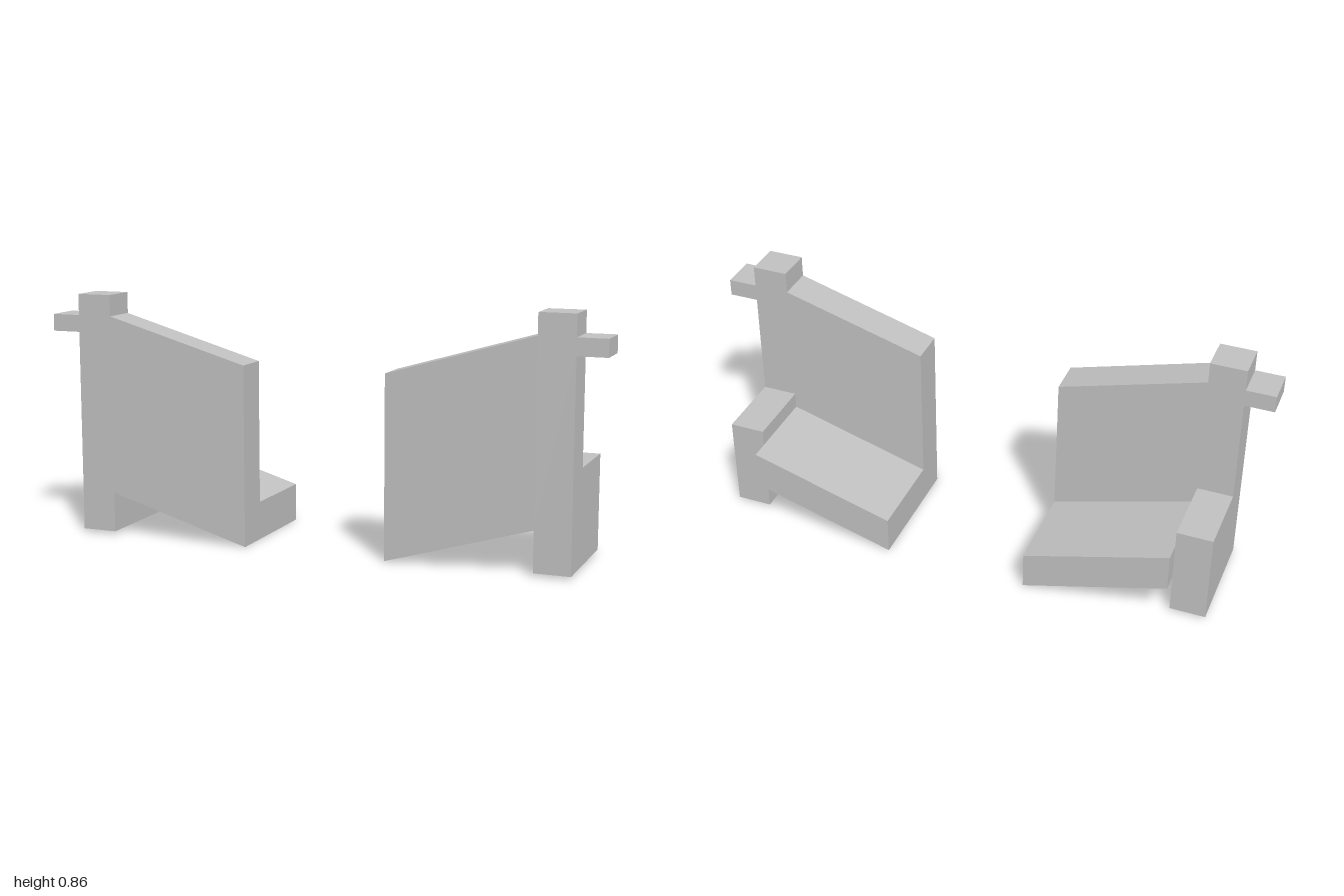
import * as THREE from 'three';

// Horizontal stations, mirrored for each half
const INNER = 0.257, POST_IN = 0.771, POST_OUT = 0.897, TIP = 1;
// Depth stations
const FRONT = 0.225, PANEL_BACK = 0.098, FOOT_BACK = -0.16, LEDGE_BACK = -0.225;

export function createModel() {
  const model = new THREE.Group();
  const grey = new THREE.MeshStandardMaterial({ color: 0xc0c0c0 });
  grey.name = 'light grey';

  // Extrudes an x-y outline between two depths, on the given side
  const slab = (name, side, points, z0, z1) => {
    const shape = new THREE.Shape(points.map(([x, y]) => new THREE.Vector2(x * side, y)));
    const geometry = new THREE.ExtrudeGeometry(shape, { depth: z1 - z0, bevelEnabled: false });
    geometry.translate(0, 0, z0);
    const mesh = new THREE.Mesh(geometry, grey);
    mesh.name = name;
    return mesh;
  };

  for (const side of [1, -1]) {
    const half = new THREE.Group();
    half.name = side > 0 ? 'leftHalf' : 'rightHalf';

    // Slanted upright panel with its post and side peg
    half.add(slab('panelWithPostAndPeg', side, [
      [INNER, 0], [POST_IN, 0.152], [POST_IN, 0.01], [POST_OUT, 0.01],
      [POST_OUT, 0.725], [TIP, 0.725], [TIP, 0.785], [POST_OUT, 0.785],
      [POST_OUT, 0.86], [POST_IN, 0.86], [POST_IN, 0.785], [INNER, 0.637],
    ], PANEL_BACK, FRONT));

    // Sloping ledge behind the panel
    half.add(slab('ledge', side, [
      [INNER, 0], [POST_IN, 0.152], [POST_IN, 0.287], [INNER, 0.135],
    ], LEDGE_BACK, PANEL_BACK));

    // Low block behind the post
    half.add(slab('foot', side, [
      [POST_IN, 0.01], [POST_OUT, 0.01], [POST_OUT, 0.345], [POST_IN, 0.345],
    ], FOOT_BACK, PANEL_BACK));

    model.add(half);
  }
  return model;
}
